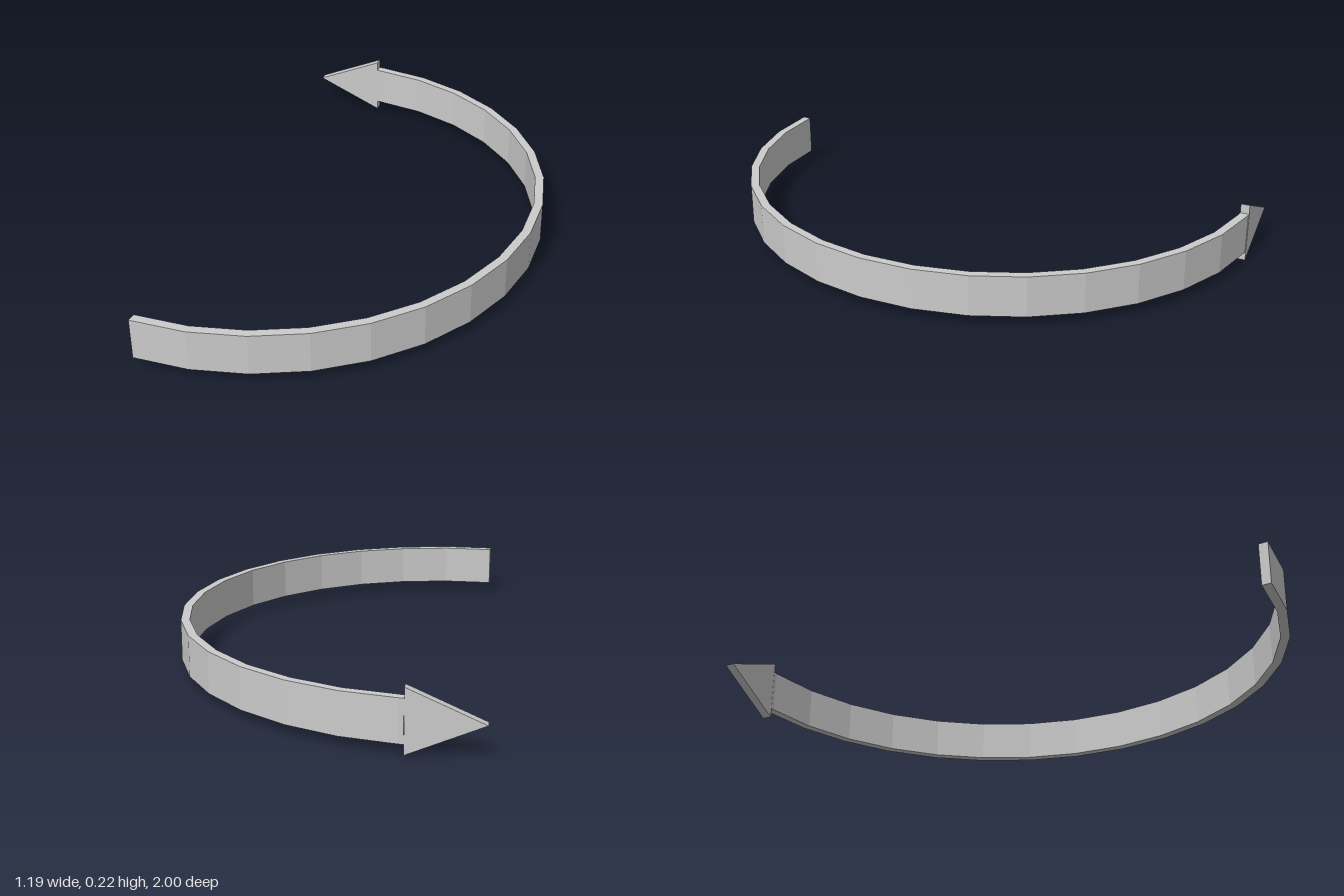
import * as THREE from 'three';

const MID_Y = 0.109;          // height of the band's centre line
const CX = -0.4, CZ = 0.004;  // centre of the arc
const OUTER = 0.994, INNER = 0.962;
const STEP = Math.PI / 16;    // 32-sided circle

const material = new THREE.MeshStandardMaterial({ color: 0xcccccc, flatShading: true });

// Points along one edge of the arc, from the tail to the arrow head
function arcPoints(radius) {
  const at = (i) => new THREE.Vector2(CX + radius * Math.cos(i * STEP), radius * Math.sin(i * STEP) - CZ);
  const points = [];
  for (let i = -9; i <= 7; i++) points.push(at(i));
  // short stub that meets the arrow head
  points.push(at(7).lerp(at(8), 0.08));
  return points;
}

// Extruded mesh centred on its depth
function extrude(name, points, depth) {
  const geometry = new THREE.ExtrudeGeometry(new THREE.Shape(points), { depth, bevelEnabled: false });
  geometry.translate(0, 0, -depth / 2);
  const mesh = new THREE.Mesh(geometry, material);
  mesh.name = name;
  return mesh;
}

export function createModel() {
  const group = new THREE.Group();
  group.name = 'curvedArrow';

  // Curved band standing on edge
  const band = extrude('band', [...arcPoints(OUTER), ...arcPoints(INNER).reverse()], 0.148);
  band.rotation.x = -Math.PI / 2;
  band.position.y = MID_Y;
  group.add(band);

  // Flat triangular head, tangent to the end of the band
  const head = extrude('arrowHead', [
    new THREE.Vector2(0, -0.109),
    new THREE.Vector2(0, 0.109),
    new THREE.Vector2(-0.252, 0),
  ].reverse(), 0.033);
  head.position.set(-0.224, MID_Y, -0.958);
  head.rotation.y = -STEP / 2;
  group.add(head);

  return group;
}
